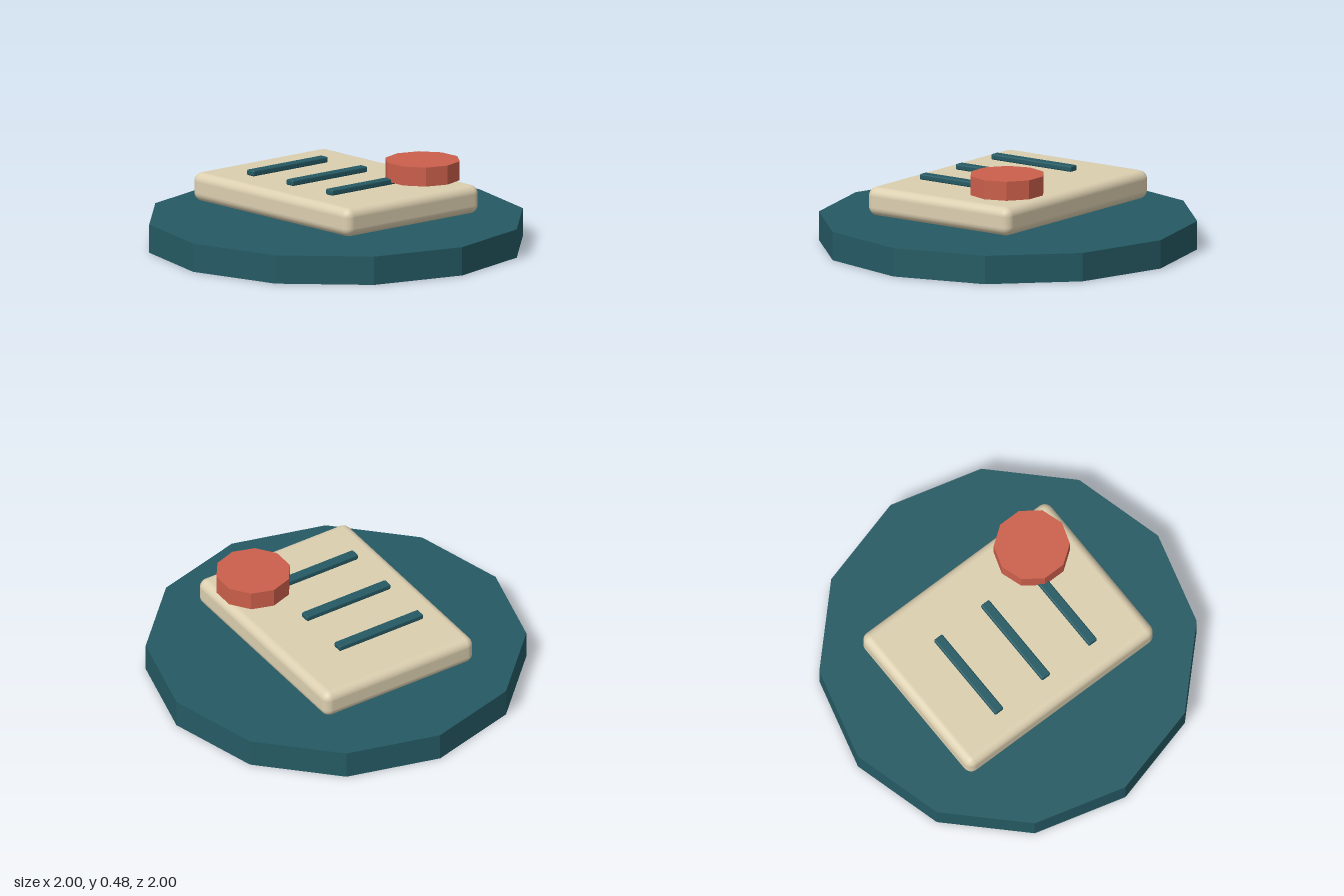
import * as THREE from 'three';
import { RoundedBoxGeometry } from 'three/addons/geometries/RoundedBoxGeometry.js';

function material(name, color) {
  const m = new THREE.MeshStandardMaterial({ color });
  m.name = name;
  return m;
}

export function createModel() {
  const group = new THREE.Group();
  group.name = 'documentToken';
  const teal = material('deep teal', 0x255a64);
  const cream = material('parchment cream', 0xdccfb0);
  const red = material('wax red', 0xcb5f4b);

  function add(name, geometry, mat, x, y, z) {
    const mesh = new THREE.Mesh(geometry, mat);
    mesh.name = name;
    mesh.position.set(x, y, z);
    group.add(mesh);
  }
  // Faceted disc with a vertex pointing along z
  const disc = (radius, height, sides) =>
    new THREE.CylinderGeometry(radius, radius, height, sides).toNonIndexed();
  const faceted = (geometry) => {
    geometry.computeVertexNormals();
    return geometry;
  };

  // Twelve-sided base
  add('base', faceted(disc(1, 0.152, 12)), teal, 0, 0.076, 0);

  // Page hovering over the base
  add('page', new RoundedBoxGeometry(0.936, 0.152, 1.244, 4, 0.047), cream, 0, 0.279, 0);

  // Raised lines of writing
  for (const z of [-0.312, 0, 0.312]) {
    add('writingLine', new RoundedBoxGeometry(0.524, 0.031, 0.055, 2, 0.008), teal, -0.064, 0.38, z);
  }

  // Ten-sided wax seal
  add('seal', faceted(disc(0.2, 0.102, 10)), red, 0.275, 0.428, 0.374);

  return group;
}
